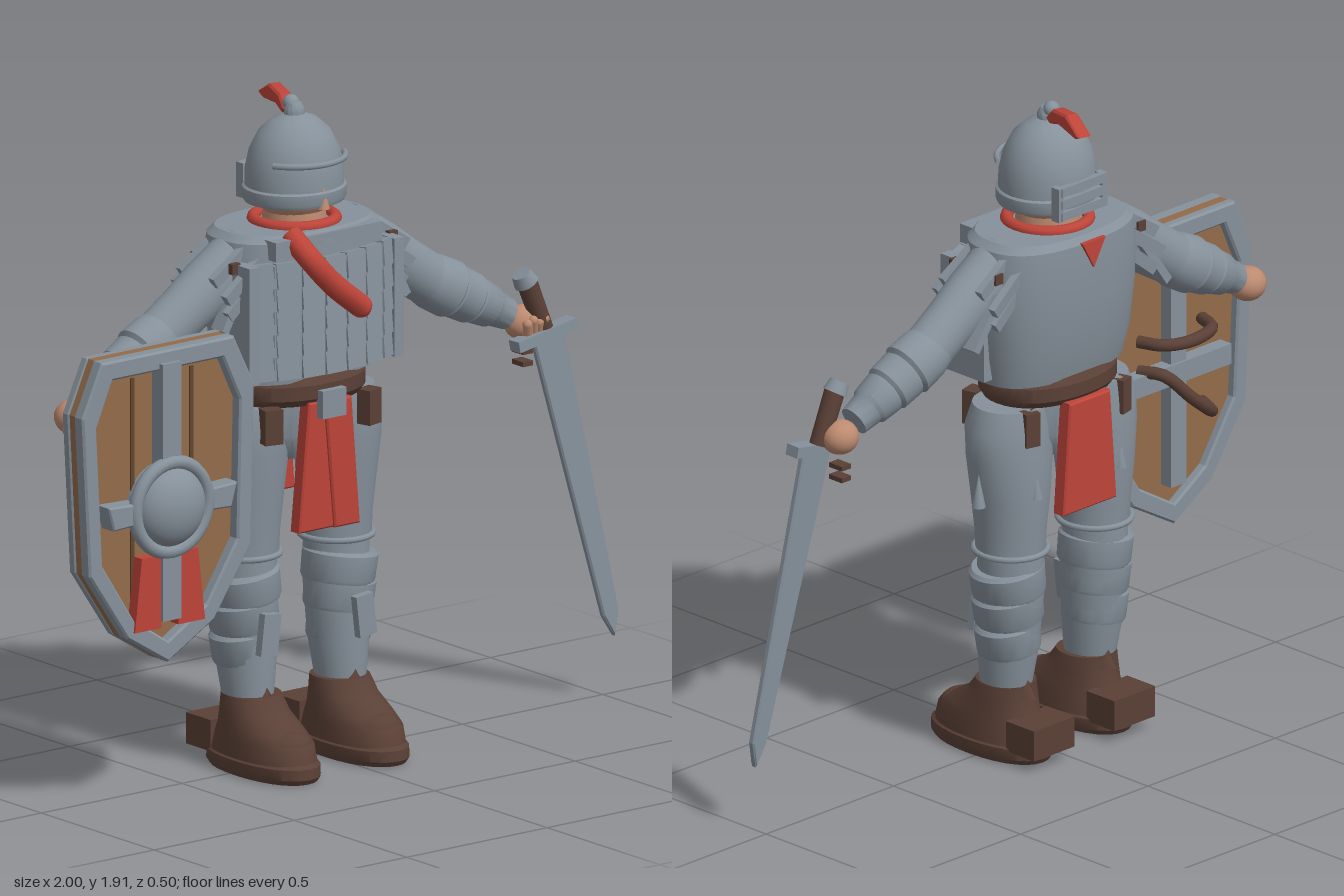
import * as THREE from 'three';
import { toCreasedNormals } from 'three/addons/utils/BufferGeometryUtils.js';

const paint = (name, color) => Object.assign(new THREE.MeshStandardMaterial({ color }), { name });
const V = (x, y, z) => new THREE.Vector3(x, y, z);

// Stacked oval cross-sections, bottom to top: [y, rx, rz, cx, cz]
function loft(rings, power = 2, sides = 28, crease = 0.6) {
  const pos = [], idx = [];
  const bend = v => Math.sign(v) * Math.pow(Math.abs(v), 2 / power);
  const end = ([y, , , cx, cz]) => [y, 0, 0, cx, cz];
  const all = [end(rings[0]), ...rings, end(rings[rings.length - 1])];
  all.forEach(([y, rx, rz, cx = 0, cz = 0], i) => {
    for (let j = 0; j < sides; j++) {
      const t = j / sides * Math.PI * 2;
      pos.push(cx + rx * bend(Math.cos(t)), y, cz + rz * bend(Math.sin(t)));
      if (i === 0) continue;
      const a = (i - 1) * sides + j, b = (i - 1) * sides + (j + 1) % sides;
      idx.push(a, a + sides, b, b, a + sides, b + sides);
    }
  });
  const g = new THREE.BufferGeometry();
  g.setAttribute('position', new THREE.Float32BufferAttribute(pos, 3));
  g.setIndex(idx);
  return toCreasedNormals(g, crease);
}

function polygon(points) {
  return new THREE.Shape(points.map(([x, y]) => new THREE.Vector2(x, y)));
}
const slab = (shape, depth, bevel = 0) => new THREE.ExtrudeGeometry(shape, {
  depth, bevelEnabled: bevel > 0, bevelSize: bevel, bevelThickness: bevel, bevelOffset: -bevel, bevelSegments: 1, curveSegments: 24 });
const box = (w, h, d) => new THREE.BoxGeometry(w, h, d);
const tube = (points, r, n = 16) => new THREE.TubeGeometry(new THREE.CatmullRomCurve3(points), n, r, 10);

export function createModel() {
  const steel = paint('steel', 0x86919b), red = paint('red cloth', 0xbd4439), leather = paint('leather', 0x5a4036);
  const wood = paint('shield wood', 0x926b4a), darkWood = paint('dark wood', 0x62462c), skin = paint('skin', 0xbc8a70);
  const root = new THREE.Group();
  const group = (name, parent = root) => { const g = new THREE.Group(); g.name = name; parent.add(g); return g; };
  const add = (parent, name, geo, mat, x = 0, y = 0, z = 0, rx = 0, ry = 0, rz = 0) => {
    const m = new THREE.Mesh(geo, mat);
    m.name = name; m.position.set(x, y, z); m.rotation.set(rx, ry, rz);
    parent.add(m); return m;
  };
  // Lay a part's y axis from a towards b
  const aim = (m, a, b) => {
    m.position.copy(a);
    m.quaternion.setFromUnitVectors(V(0, 1, 0), b.clone().sub(a).normalize());
    return m;
  };
  const body = group('soldier');
  body.position.x = -0.075;

  // Head and helmet
  const head = group('head', body);
  add(head, 'face', new THREE.SphereGeometry(0.125, 28, 20), skin, 0, 1.66, -0.03).scale.set(0.95, 0.95, 0.92);
  add(head, 'neck', new THREE.CylinderGeometry(0.085, 0.095, 0.1, 24), skin, 0, 1.56, -0.03);
  add(head, 'nose', new THREE.ConeGeometry(0.018, 0.07, 10), skin, 0, 1.64, 0.1);
  const dome = [[0.125, 1.61], [0.145, 1.61], [0.15, 1.62], [0.15, 1.65], [0.143, 1.655], [0.142, 1.7], [0.13, 1.755], [0.104, 1.805],
    [0.065, 1.84], [0.03, 1.853], [0.03, 1.868], [0.02, 1.885], [0.0, 1.888]].map(p => new THREE.Vector2(...p));
  add(head, 'helmet', toCreasedNormals(new THREE.LatheGeometry(dome, 36), 0.6), steel, 0, 0, -0.03).scale.z = 0.93;
  add(head, 'browBar', new THREE.TorusGeometry(0.142, 0.009, 8, 24, 2.2), steel, 0, 1.735, -0.03, Math.PI / 2, 0, 0.47);
  for (let k = 0; k < 3; k++)
    add(head, 'neckGuard', box(0.17, 0.026, 0.02), steel, 0, 1.615 + k * 0.036, -0.163);
  for (const s of [-1, 1]) add(head, 'guardHinge', box(0.02, 0.1, 0.03), steel, s * 0.085, 1.65, -0.155);
  const feather = slab(polygon([[0, 0], [0.04, 0.035], [0.12, 0.045], [0.2, 0.005], [0.17, -0.008], [0.07, 0.0], [0.02, -0.015]]), 0.03, 0.006);
  add(head, 'plume', feather, red, -0.015, 1.862, -0.05, 0, 1.9 - 0.55 + 0.05, 0).rotation.y = Math.PI / 2 - 0.3;
  add(head, 'plumeSocket', new THREE.SphereGeometry(0.024, 14, 10), steel, 0, 1.88, -0.045);

  // Breastplate: smooth back, banded front
  const torso = group('torso', body);
  add(torso, 'cuirass', loft([[1.12, 0.24, 0.14, 0, -0.03], [1.2, 0.255, 0.155, 0, -0.035], [1.35, 0.268, 0.165, 0, -0.04],
    [1.48, 0.268, 0.167, 0, -0.04], [1.53, 0.258, 0.165, 0, -0.04], [1.55, 0.235, 0.15, 0, -0.04]], 2.5, 40), steel);
  for (let r = 0; r < 5; r++) for (let c = -3; c <= 3; c++) {
    const x = c * 0.074;
    add(torso, 'bandPlate', box(0.07, 0.072, 0.035), steel, x, 1.18 + r * 0.066, 0.14 - 0.9 * x * x, -0.12, c * 0.13, 0);
  }
  for (let c = -3; c < 3; c++) {
    const x = (c + 0.5) * 0.074;
    add(torso, 'bandStrap', box(0.016, 0.33, 0.03), steel, x, 1.31, 0.138 - 0.9 * x * x);
  }
  add(torso, 'chestPlate', box(0.38, 0.055, 0.05), steel, 0, 1.515, 0.1);
  for (const s of [-1, 1]) add(torso, 'sidePlate', box(0.035, 0.34, 0.17), steel, s * 0.258, 1.31, 0.03);
  add(torso, 'scarf', new THREE.TorusGeometry(0.115, 0.018, 10, 30), red, 0, 1.553, -0.03, Math.PI / 2);
  add(torso, 'scarfPoint', slab(polygon([[-0.045, 0.06], [0.045, 0.06], [0, -0.02]]), 0.012), red, 0, 1.475, -0.214);
  add(torso, 'scarfRoll', tube([V(-0.11, 1.545, 0.09), V(-0.1, 1.49, 0.165), V(-0.03, 1.41, 0.178), V(0.08, 1.325, 0.165)], 0.033), red);
  add(torso, 'scarfEnd', new THREE.SphereGeometry(0.033, 12, 10), red, 0.08, 1.325, 0.165);

  // Belt, pouches and hanging cloth
  const waist = group('waist', body);
  add(waist, 'belt', loft([[1.05, 0.2, 0.145, 0, -0.03], [1.07, 0.212, 0.16, 0, -0.03], [1.11, 0.212, 0.16, 0, -0.03], [1.13, 0.2, 0.145, 0, -0.03]], 2.2, 36), leather);
  add(waist, 'hips', loft([[0.88, 0.1, 0.09, 0, -0.04], [0.95, 0.2, 0.12, 0, -0.04], [1.06, 0.2, 0.125, 0, -0.04]]), steel);
  add(waist, 'buckle', box(0.085, 0.08, 0.04), steel, 0, 1.055, 0.13);
  for (const s of [-1, 1]) {
    add(waist, 'pouch', box(0.055, 0.1, 0.045), leather, s * 0.175, 1.005, 0.085, 0, s * 0.25);
    add(waist, 'backPouch', box(0.045, 0.1, 0.04), leather, s * 0.18, 1.0, -0.14, 0, -s * 0.25);
  }
  const strip = (n, z, x0, x1, x2, x3, depth, y) =>
    add(waist, n, slab(polygon([[x0, y], [x1, y], [x2, 1.06], [x3, 1.06]]), depth, 0.005), red, 0, 0, z);
  strip('frontCloth', 0.085, -0.105, 0.025, 0.02, -0.07, 0.035, 0.69);
  strip('frontCloth', 0.1, 0.015, 0.105, 0.075, -0.02, 0.03, 0.69);
  strip('backCloth', -0.195, -0.105, 0.105, 0.08, -0.08, 0.035, 0.73);

  for (const s of [-1, 1]) {
    // Legs
    const leg = group(s > 0 ? 'leftLeg' : 'rightLeg', body);
    leg.position.x = s * 0.165;
    add(leg, 'thighArmour', loft([[0.6, 0.1, 0.095, 0, -0.05], [0.68, 0.103, 0.1, 0, -0.05], [0.78, 0.115, 0.108, 0, -0.05], [0.9, 0.13, 0.112, 0, -0.045],
      [0.99, 0.13, 0.112, 0, -0.04], [1.05, 0.11, 0.105, -s * 0.01, -0.04]]), steel);
    add(leg, 'kneeRing', new THREE.TorusGeometry(0.103, 0.009, 8, 28), steel, 0, 0.615, -0.05, Math.PI / 2);
    add(leg, 'thighRidge', new THREE.ConeGeometry(0.02, 0.1, 8), steel, s * 0.125, 0.82, -0.05);
    add(leg, 'backRidge', new THREE.ConeGeometry(0.02, 0.1, 8), steel, 0, 0.84, -0.15);
    add(leg, 'shin', loft([[0.19, 0.068, 0.075, 0, -0.03], [0.32, 0.086, 0.088, 0, -0.04], [0.5, 0.095, 0.096, 0, -0.05], [0.62, 0.09, 0.094, 0, -0.05]]), steel);
    [[0.31, 0.092], [0.4, 0.1], [0.48, 0.106]].forEach(([y, r]) =>
      add(leg, 'greaveBand', loft([[0, r - 0.005, r - 0.007], [0.01, r, r - 0.003], [0.08, r + 0.004, r - 0.003], [0.09, r - 0.006, r - 0.01]]), steel, 0, y, -0.045, 0, 0, -s * 0.14));
    add(leg, 'shinPlate', box(0.06, 0.12, 0.025), steel, s * 0.005, 0.4, 0.068, 0, 0, s * 0.12);

    // Boots
    const boot = group(s > 0 ? 'leftBoot' : 'rightBoot', body);
    boot.position.x = s * 0.158;
    add(boot, 'sole', loft([[0, 0.098, 0.2, 0, 0.03], [0.015, 0.107, 0.21, 0, 0.03], [0.045, 0.107, 0.208, 0, 0.03], [0.055, 0.095, 0.195, 0, 0.03]], 2.2), leather);
    add(boot, 'upper', loft([[0.05, 0.103, 0.195, 0, 0.03], [0.1, 0.1, 0.175, 0, 0.035], [0.13, 0.095, 0.145, 0, 0.02],
      [0.17, 0.088, 0.105, 0, -0.01], [0.2, 0.084, 0.09, 0, -0.02], [0.215, 0.08, 0.085, 0, -0.025]], 2.2, 28, 0.9), leather);
    add(boot, 'toeCap', new THREE.SphereGeometry(0.07, 18, 12), leather, 0, 0.095, 0.14).scale.set(1, 0.6, 0.95);
    add(boot, 'heelBlock', box(0.16, 0.09, 0.11), leather, 0, 0.083, -0.16);
    for (const z of [-0.1, 0.04])
      add(boot, 'ankleFlap', new THREE.ConeGeometry(0.04, 0.07, 4), leather, 0, 0.215, z);

    // Arms, banded from shoulder to wrist
    const arm = group(s > 0 ? 'leftArm' : 'rightArm', body);
    const P = (x, y, z) => V(s * x, y, z);
    const shoulder = P(0.22, 1.46, -0.035), elbow = P(0.49, 1.285, -0.035), wrist = P(0.765, 1.14, -0.015);
    add(arm, 'shoulderCap', new THREE.SphereGeometry(0.085, 22, 16), steel, shoulder.x, shoulder.y - 0.005, shoulder.z);
    aim(add(arm, 'upperArm', loft([[0, 0.085, 0.075], [0.1, 0.085, 0.075], [0.2, 0.078, 0.07], [0.34, 0.074, 0.07]]), steel), shoulder, elbow);
    aim(add(arm, 'forearm', loft([[-0.04, 0.07, 0.066], [0, 0.08, 0.076], [0.07, 0.083, 0.078], [0.08, 0.07, 0.068], [0.085, 0.076, 0.072], [0.15, 0.073, 0.07],
      [0.16, 0.062, 0.06], [0.165, 0.067, 0.064], [0.225, 0.06, 0.058], [0.235, 0.052, 0.05], [0.29, 0.045, 0.045]]), steel), elbow, wrist);
    // Shoulder strips fan around the arm
    for (let k = 0; k < 7; k++) {
      const t = -0.5 + k / 6 * (Math.PI + 1), y = Math.sin(t), z = Math.cos(t);
      const a = P(0.225 + y * 0.015, 1.45 + y * 0.07, -0.035 + z * 0.105);
      const b = P(0.345 + y * 0.03, 1.36 + y * 0.075, -0.035 + z * 0.115);
      const m = aim(add(arm, 'shoulderStrip', box(0.035, 0.16, 0.022), steel), a, b);
      m.position.lerp(b, 0.3);
    }
    for (let k = 0; k < 2; k++)
      aim(add(arm, 'hangingStrip', box(0.025, 0.17, 0.05), steel), P(0.285 + k * 0.045, 1.37 - k * 0.02, 0.045 - k * 0.15), P(0.35 + k * 0.05, 1.25, 0.045 - k * 0.15));
    for (const z of [-0.11, 0.05]) add(arm, 'rivet', box(0.03, 0.03, 0.025), leather, s * 0.28, 1.47, z);

    // Hands
    const hand = group(s > 0 ? 'leftHand' : 'rightHand', body);
    add(hand, 'palm', new THREE.SphereGeometry(0.055, 18, 14), skin, s * 0.8, 1.118, -0.015).scale.set(1, 0.9, 0.95);
    for (let k = 0; k < 4; k++)
      add(hand, 'finger', new THREE.CapsuleGeometry(0.015, 0.04, 4, 8), skin, s * (0.785 + k * 0.02), 1.105 + (k % 2) * 0.008, 0.028, 0.3, 0, s * 0.25);
  }

  // Sword
  const sword = group('sword');
  sword.position.set(0.765, 1.085, 0.03);
  sword.rotation.set(-0.03, 0, 0.235);
  const blade = slab(polygon([[-0.055, 0], [0.055, 0], [0.032, -0.86], [0.0, -0.93], [-0.024, -0.86]]), 0.012, 0.005);
  add(sword, 'blade', blade, steel, 0.012, 0, -0.008);
  add(sword, 'guard', box(0.21, 0.032, 0.045), steel, 0, 0, 0, 0, 0, -0.06);
  add(sword, 'grip', new THREE.CylinderGeometry(0.03, 0.028, 0.16, 14), leather, 0, 0.09, -0.01, 0, 0, 0.14);
  add(sword, 'pommel', new THREE.CylinderGeometry(0.028, 0.036, 0.035, 14), steel, -0.018, 0.178, -0.01, 0, 0, 0.3);
  for (const y of [1.0, 1.035])
    add(root, 'swordStrap', box(0.035, 0.014, 0.05), leather, 0.73, y, -0.02);

  // Shield: wood core between two steel frames
  const shield = group('shield');
  shield.position.set(-0.69, 0, 0);
  const edge = [[-0.237, 1.32], [0.235, 1.32], [0.308, 1.17], [0.296, 0.71], [0.165, 0.515], [0, 0.42], [-0.145, 0.51], [-0.28, 0.71], [-0.306, 1.17]];
  const inner = edge.map(([x, y]) => [x * 0.83, 0.89 + (y - 0.89) * 0.87]);
  const frame = polygon(edge);
  frame.holes.push(polygon([...inner].reverse()));
  add(shield, 'core', slab(polygon(edge.map(([x, y]) => [x * 0.985, 0.89 + (y - 0.89) * 0.998])), 0.035), wood, 0, 0, 0.11);
  add(shield, 'frontFrame', slab(frame, 0.03, 0.006), steel, 0, 0, 0.143);
  add(shield, 'backFrame', slab(frame, 0.02, 0.006), steel, 0, 0, 0.09);
  for (const s of [-1, 1]) {
    add(shield, 'plankGap', box(0.012, 0.7, 0.006), darkWood, s * 0.105, 0.9, 0.147);
    add(shield, 'redPanel', slab(polygon([[s * 0.03, 0.735], [s * 0.1, 0.735], [s * 0.125, 0.525], [s * 0.03, 0.525]]), 0.035), red, 0, 0, 0.15);
    add(shield, 'crossArm', slab(polygon([[s * 0.1, 0.84], [s * 0.21, 0.835], [s * 0.23, 0.905], [s * 0.1, 0.9]]), 0.05, 0.005), steel, 0, 0, 0.145);
  }
  add(shield, 'crossPost', box(0.065, 0.74, 0.05), steel, 0, 0.915, 0.17);
  add(shield, 'bossRing', new THREE.TorusGeometry(0.128, 0.02, 10, 36), steel, 0, 0.87, 0.19);
  add(shield, 'bossPlate', new THREE.CylinderGeometry(0.125, 0.125, 0.04, 32), steel, 0, 0.87, 0.165, Math.PI / 2);
  add(shield, 'boss', new THREE.SphereGeometry(0.115, 28, 20), steel, 0, 0.87, 0.18).scale.z = 0.65;
  add(shield, 'backPost', box(0.06, 0.68, 0.04), steel, 0, 0.88, 0.09);
  add(shield, 'backBar', box(0.4, 0.06, 0.045), steel, 0, 0.88, 0.085);
  for (const [y, tilt] of [[1.0, 0.0], [0.83, 0.08]])
    add(shield, 'handStrap', tube([V(-0.12, y - tilt, 0.1), V(-0.09, y - tilt, 0.03), V(0.02, y, 0.0), V(0.1, y + tilt, 0.03), V(0.13, y + tilt, 0.1)], 0.018), leather);

  return root;
}
